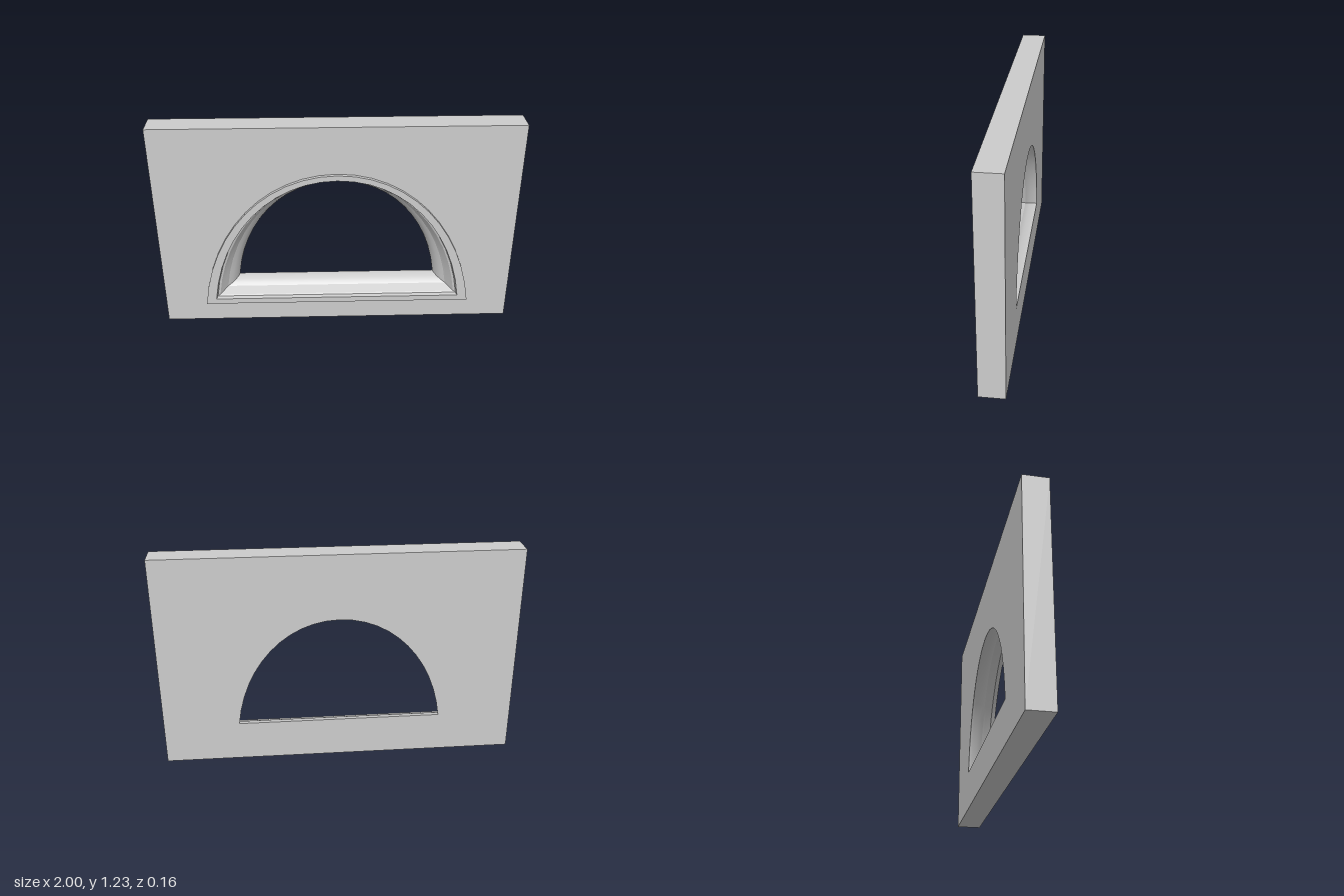
import * as THREE from 'three';

const material = new THREE.MeshStandardMaterial({ color: 0xcccccc });
const HEIGHT = 1.225, FRONT = 0.06, BACK = -0.08, LIP = 0.08;
const CENTRE = 0.553; // height about which the opening is scaled

// Half-round opening at its narrowest, relative to the centre, counterclockwise
const half = new THREE.CubicBezierCurve(
  new THREE.Vector2(0.575, -0.323), new THREE.Vector2(0.53, 0.047),
  new THREE.Vector2(0.295, 0.302), new THREE.Vector2(0, 0.302)
).getPoints(12);
const arch = [...half, ...half.slice(0, -1).reverse().map(p => new THREE.Vector2(-p.x, p.y))];
const sill = [arch[arch.length - 1], arch[0]];

// Sweep a profile of [scale, z] pairs along part of the opening
function sweep(path, profile) {
  const pos = [], idx = [], n = profile.length;
  for (const p of path) for (const [s, z] of profile) pos.push(p.x * s, CENTRE + p.y * s, z);
  for (let i = 0; i < path.length - 1; i++) {
    for (let j = 0; j < n - 1; j++) {
      const a = i * n + j, b = a + n;
      idx.push(a, b, a + 1, b, b + 1, a + 1);
    }
  }
  const geometry = new THREE.BufferGeometry();
  geometry.setAttribute('position', new THREE.Float32BufferAttribute(pos, 3));
  geometry.setIndex(idx);
  geometry.computeVertexNormals();
  return geometry;
}

// Rectangular wall face with the opening cut at a given scale
function wallFace(scale) {
  const shape = new THREE.Shape([[-1, 0], [1, 0], [1, HEIGHT], [-1, HEIGHT]].map(p => new THREE.Vector2(...p)));
  shape.holes.push(new THREE.Path(arch.map(p => new THREE.Vector2(p.x * scale, CENTRE + p.y * scale))));
  return new THREE.ShapeGeometry(shape);
}

export function createModel() {
  const model = new THREE.Group();
  model.name = 'wallWithArchedWindow';
  const add = (parent, name, geometry) => {
    const mesh = new THREE.Mesh(geometry, material);
    mesh.name = name;
    parent.add(mesh);
    return mesh;
  };

  // Wall slab: front, back and the four outer edges
  const wall = new THREE.Group();
  wall.name = 'wall';
  model.add(wall);
  add(wall, 'wallFront', wallFace(1.325)).position.z = FRONT;
  const back = add(wall, 'wallBack', wallFace(1));
  back.rotation.y = Math.PI;
  back.position.z = BACK;
  const edges = new THREE.BoxGeometry(2, HEIGHT, FRONT - BACK);
  edges.setIndex(Array.from(edges.index.array.slice(0, 24)));
  edges.clearGroups();
  add(wall, 'wallEdges', edges).position.set(0, HEIGHT / 2, (FRONT + BACK) / 2);

  // Moulded surround: each entry is one smooth piece of the stepped profile
  const pieces = {
    outerEdge: [[1.328, FRONT], [1.328, LIP]],
    face: [[1.328, LIP], [1.225, LIP]],
    rebate: [[1.225, LIP], [1.215, 0.055]],
    step: [[1.215, 0.055], [1.19, 0.05]],
    reveal: [[1.19, 0.05], [1.13, 0.01]],
    fillet: [[1.13, 0.01], [1.115, 0]],
    cove: [[1.115, 0], [1.07, -0.015], [1.035, -0.035], [1.01, -0.057], [1.004, -0.068]],
    innerEdge: [[1.004, -0.068], [1, BACK]],
  };
  const surround = new THREE.Group();
  surround.name = 'windowSurround';
  model.add(surround);
  for (const [name, profile] of Object.entries(pieces)) {
    add(surround, name + 'Arch', sweep(arch, profile));
    add(surround, name + 'Sill', sweep(sill, profile));
  }
  return model;
}
